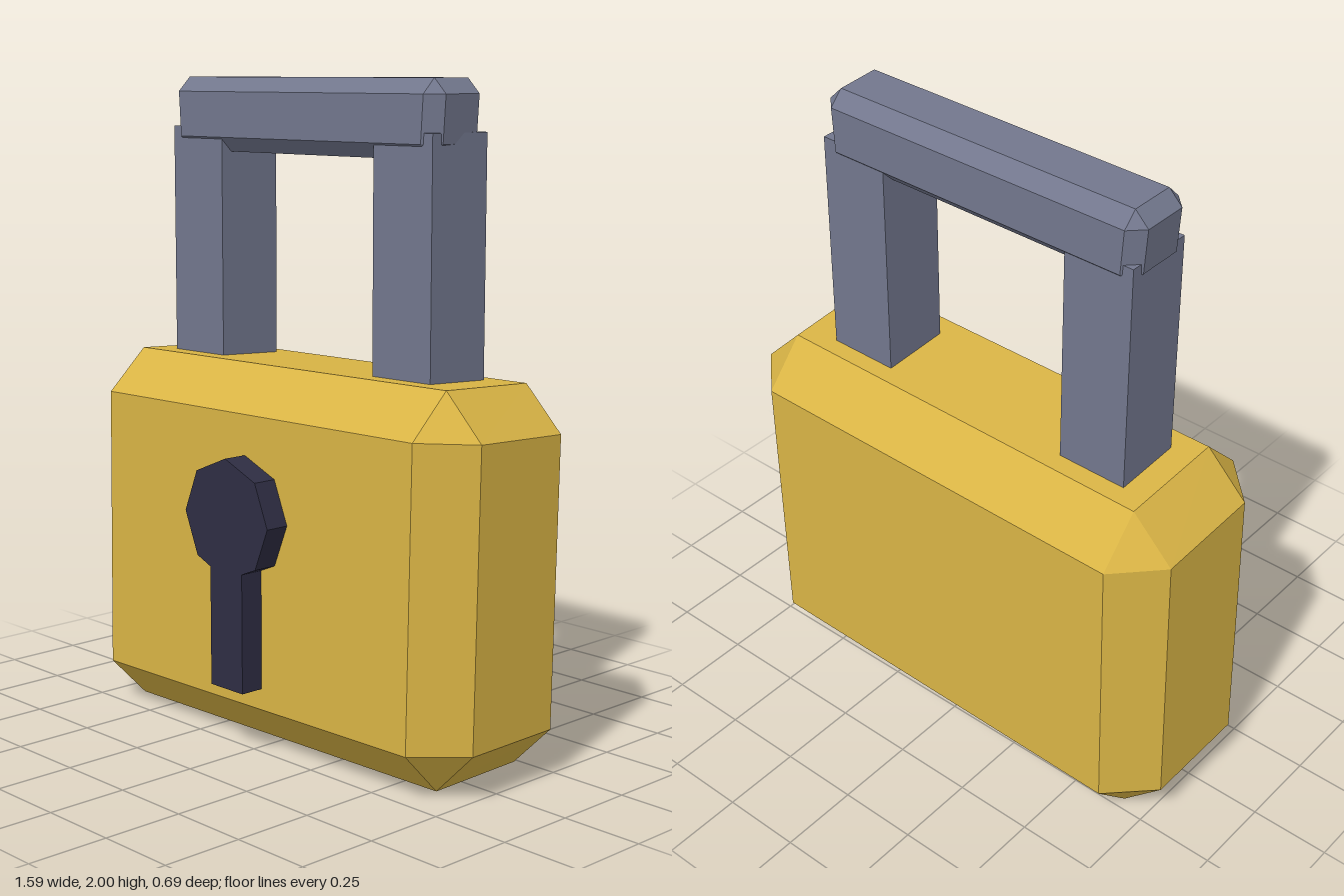
import * as THREE from 'three';
import { ConvexGeometry } from 'three/addons/geometries/ConvexGeometry.js';

const mat = (name, color) => {
  const m = new THREE.MeshStandardMaterial({ color });
  m.name = name;
  return m;
};

// Moves every vertex by a rule and refreshes the flat normals.
function warp(geometry, rule) {
  const p = geometry.attributes.position;
  const v = new THREE.Vector3();
  for (let i = 0; i < p.count; i++) {
    rule(v.fromBufferAttribute(p, i));
    p.setXYZ(i, v.x, v.y, v.z);
  }
  geometry.computeVertexNormals();
  return geometry;
}

// Box with all edges bevelled: three points near each corner.
function bevelBox(min, max, c) {
  const pts = [];
  for (let k = 0; k < 8; k++) {
    const bits = [k & 1, (k >> 1) & 1, (k >> 2) & 1];
    for (let face = 0; face < 3; face++) {
      pts.push(new THREE.Vector3(...bits.map((b, axis) => {
        const inset = axis === face ? 0 : c;
        return b ? max[axis] - inset : min[axis] + inset;
      })));
    }
  }
  return new ConvexGeometry(pts);
}

export function createModel() {
  const gold = mat('gold', 0xd9b445);
  const steel = mat('blue grey steel', 0x72778d);
  const dark = mat('dark keyhole', 0x2e2d43);

  const group = new THREE.Group();
  group.name = 'padlock';
  const add = (name, geometry, material) => {
    const mesh = new THREE.Mesh(geometry, material);
    mesh.name = name;
    group.add(mesh);
  };

  // Body, slightly crooked
  const body = warp(bevelBox([-0.785, 0.01, -0.343], [0.785, 1.15, 0.271], 0.133), (v) => {
    const { x, y, z } = v;
    v.x += 0.018 * (y - 0.58) + (x > 0 ? 0.025 * z : 0);
    v.y += 0.0105 * x + 0.05 * z * (y / 1.15);
    v.z += z < 0 ? 0.005 * x : -0.003 * x;
  });
  add('body', body, gold);

  // Shackle legs
  for (const [name, x0, x1] of [['rightLeg', -0.56, -0.334], ['leftLeg', 0.317, 0.544]]) {
    const leg = new THREE.BoxGeometry(x1 - x0, 0.8, 0.223);
    leg.translate((x0 + x1) / 2, 1.45, -0.041);
    add(name, leg, steel);
  }

  // Shackle crossbar, narrowing a little downwards
  const bar = warp(bevelBox([-0.573, 1.775, -0.157], [0.556, 2, 0.076], 0.044), (v) => {
    v.x *= 1 - 0.12 * Math.max(0, 1.956 - v.y);
    if (v.z < 0 && v.x > 0) v.x -= 0.008;
  });
  add('crossbar', bar, steel);

  // Keyhole: octagon and slot in one outline
  const cx = -0.01, cy = 0.725, r = 0.182;
  const outline = [[-0.08, 0.21], [0.06, 0.21], [0.06, 0.572]];
  for (let i = -1; i <= 5; i++) {
    const a = (i * Math.PI) / 4;
    outline.push([cx + r * Math.cos(a), cy + r * Math.sin(a)]);
  }
  outline.push([-0.08, 0.572]);
  const keyhole = new THREE.ExtrudeGeometry(
    new THREE.Shape(outline.map(([x, y]) => new THREE.Vector2(x, y))),
    { depth: 0.095, bevelEnabled: false });
  keyhole.translate(0, 0, 0.252);
  add('keyhole', keyhole, dark);

  return group;
}
